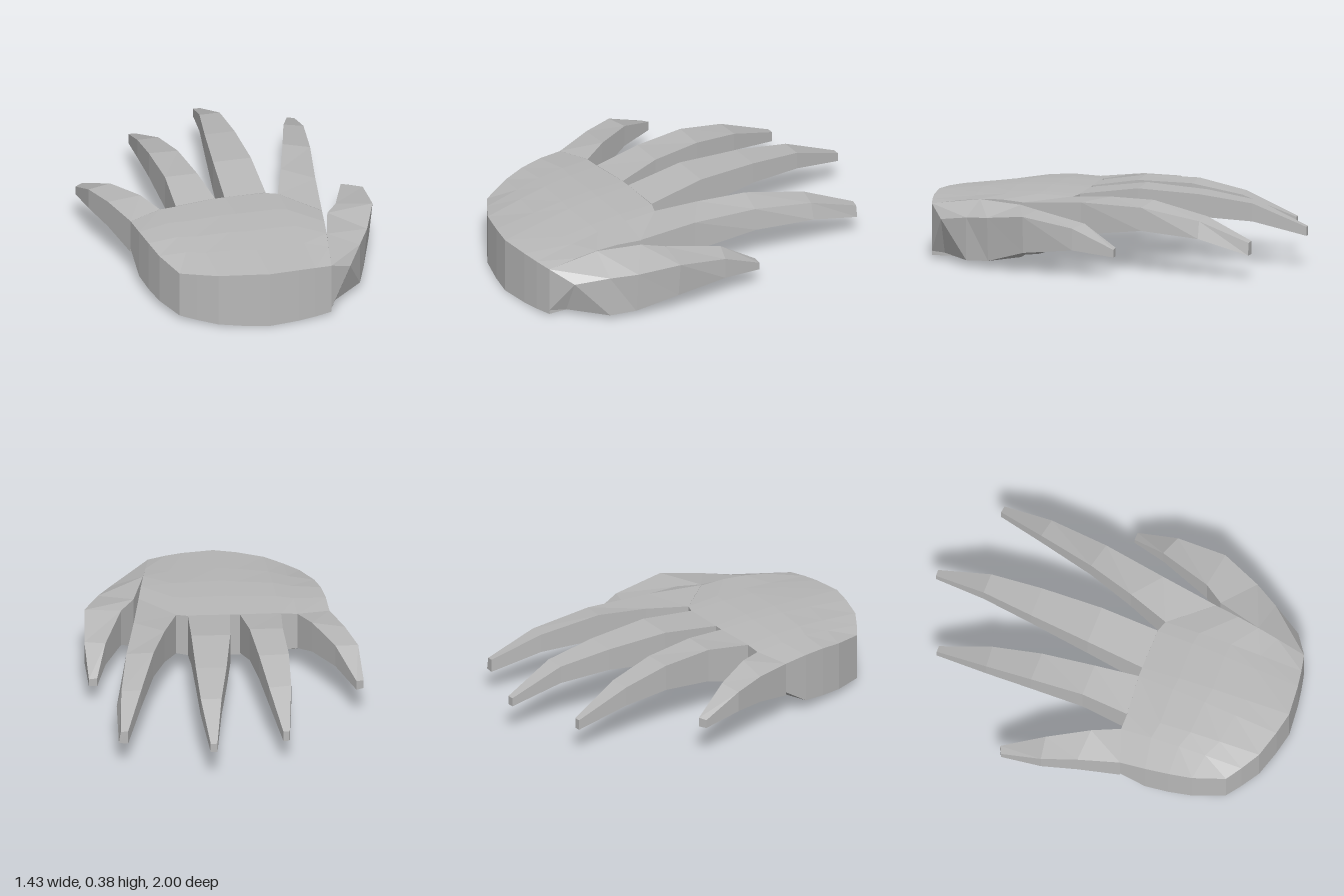
import * as THREE from 'three';

// Skin a list of rings. Each ring runs left to right on top, then right to left below.
function loft(rings) {
  const pos = [];
  const quad = (a, b, c, d) => pos.push(...a, ...b, ...c, ...a, ...c, ...d);
  const n = rings[0].length;
  for (let i = 0; i + 1 < rings.length; i++) {
    const a = rings[i], b = rings[i + 1];
    for (let k = 0; k < n; k++) {
      const m = (k + 1) % n;
      quad(a[k], a[m], b[m], b[k]);
    }
  }
  // End caps, as strips between the top and bottom edges
  const s = rings[0], e = rings[rings.length - 1];
  for (let k = 0; k < n / 2 - 1; k++) {
    quad(s[n - 1 - k], s[n - 2 - k], s[k + 1], s[k]);
    quad(e[k], e[k + 1], e[n - 2 - k], e[n - 1 - k]);
  }
  const g = new THREE.BufferGeometry();
  g.setAttribute('position', new THREE.Float32BufferAttribute(pos, 3));
  g.computeVertexNormals();
  return g;
}

// Section: left x, left z, right x, right z, top left y, top right y, bottom y, bottom right x shift
const digitRing = ([lx, lz, rx, rz, tl, tr, b, shift = 0]) => [
  [lx, tl, lz], [rx, tr, rz], [rx + shift, b, rz], [lx, b, lz],
];

const digits = {
  littleFinger: [
    [-0.57, 0.28, -0.4, 0.22, 0.313, 0.33, 0.13],
    [-0.64, 0.07, -0.47, 0.08, 0.325, 0.348, 0.18],
    [-0.7, -0.11, -0.58, -0.13, 0.31, 0.32, 0.2],
    [-0.718, -0.325, -0.68, -0.345, 0.215, 0.22, 0.17],
  ],
  ringFinger: [
    [-0.315, 0.22, -0.1, 0.2, 0.337, 0.345, 0.12],
    [-0.312, -0.03, -0.14, -0.03, 0.376, 0.376, 0.195],
    [-0.33, -0.31, -0.175, -0.31, 0.37, 0.365, 0.23],
    [-0.33, -0.56, -0.215, -0.57, 0.315, 0.31, 0.21],
    [-0.308, -0.845, -0.275, -0.845, 0.195, 0.195, 0.14],
  ],
  middleFinger: [
    [-0.05, 0.2, 0.17, 0.2, 0.345, 0.345, 0.115],
    [-0.035, -0.11, 0.167, -0.11, 0.386, 0.386, 0.215],
    [0, -0.44, 0.16, -0.44, 0.368, 0.368, 0.25],
    [0.04, -0.72, 0.148, -0.72, 0.33, 0.33, 0.235],
    [0.075, -1, 0.11, -1, 0.212, 0.212, 0.165],
  ],
  indexFinger: [
    [0.23, 0.22, 0.415, 0.43, 0.34, 0.33, 0.115],
    [0.3, 0, 0.455, 0.12, 0.36, 0.35, 0.18],
    [0.37, -0.25, 0.51, -0.22, 0.365, 0.345, 0.225, 0.012],
    [0.45, -0.56, 0.552, -0.54, 0.305, 0.295, 0.205, 0.024],
    [0.53, -0.815, 0.568, -0.81, 0.2, 0.195, 0.13, 0.01],
  ],
  thumb: [
    [0.34, 0.95, 0.46, 0.87, 0.29, 0.23, 0.04, -0.08],
    [0.38, 0.68, 0.55, 0.71, 0.33, 0.26, 0.035],
    [0.44, 0.445, 0.62, 0.58, 0.32, 0.275, 0.045, -0.02],
    [0.51, 0.34, 0.7, 0.37, 0.31, 0.303, 0.11, -0.02],
    [0.605, 0.06, 0.713, 0.1, 0.265, 0.255, 0.14],
    [0.657, -0.12, 0.7, -0.12, 0.155, 0.15, 0.11],
  ],
};

// Palm: rounded heel edge and knuckle edge, as x, z pairs
const heel = [[-0.44, 0.82], [-0.36, 0.875], [-0.26, 0.935], [-0.12, 0.975],
  [0, 1], [0.16, 0.985], [0.25, 0.97], [0.34, 0.95]];
const knuckles = [[-0.57, 0.28], [-0.4, 0.22], [-0.315, 0.22], [-0.1, 0.2],
  [-0.05, 0.2], [0.17, 0.2], [0.23, 0.22], [0.415, 0.43]];
// Row: position from heel to knuckles, top y, top droop, bottom y, side bulge
const palmRows = [
  [0, 0.31, 0.18, 0.004, 0],
  [0.3, 0.332, 0.12, 0.006, 0.03],
  [0.52, 0.346, 0.1, 0.012, 0.03],
  [0.75, 0.352, 0.1, 0.022, 0.02],
  [1, 0.345, 0.1, 0.11, 0],
];

function palmRing([t, top, droop, bottom, bulge]) {
  const line = heel.map(([x, z], i) => [
    THREE.MathUtils.lerp(x, knuckles[i][0], t) - (i === 0 ? bulge : 0),
    THREE.MathUtils.lerp(z, knuckles[i][1], t),
  ]);
  const upper = line.map(([x, z]) => [x, top - droop * x * x, z]);
  const lower = line.map(([x, z]) => [x, bottom + 0.12 * x * x, z]);
  return [...upper, ...lower.reverse()];
}

export function createModel() {
  const hand = new THREE.Group();
  hand.name = 'hand';
  const grey = new THREE.MeshStandardMaterial({ color: 0xb8b8b8 });
  grey.name = 'grey';
  const add = (name, rings) => {
    const mesh = new THREE.Mesh(loft(rings), grey);
    mesh.name = name;
    hand.add(mesh);
  };
  add('palm', palmRows.map(palmRing));
  for (const [name, sections] of Object.entries(digits)) add(name, sections.map(digitRing));
  return hand;
}
